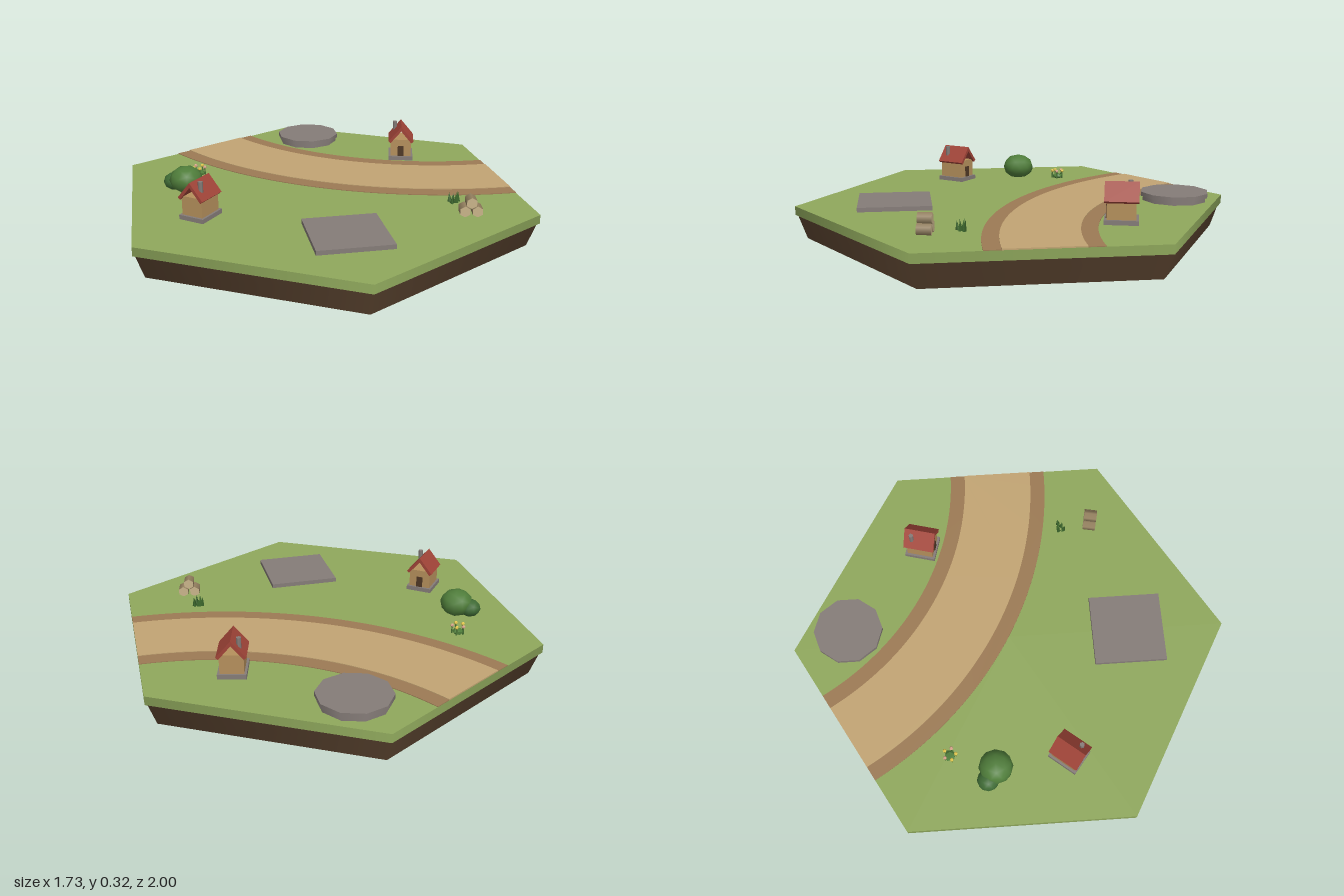
import * as THREE from 'three';

const TOP = 0.15; // grass level

const mat = (color, extra = {}) => new THREE.MeshStandardMaterial({ color, ...extra });
const MATS = {
  grass: mat(0x8fa85c), dirt: mat(0x5a432f), road: mat(0xc2a473), verge: mat(0x9c7a54),
  stone: mat(0x857c78), wall: mat(0xb5905c), door: mat(0x4f3825), roof: mat(0xa04438),
  leaf: mat(0x4f7d3a), leafDark: mat(0x3f6b35), blade: mat(0x3f6b2f), bark: mat(0x94805f),
  cut: mat(0xc9b48a), yellow: mat(0xe3c84f), pink: mat(0xd9a58c),
};

function add(parent, name, geometry, material, x = 0, y = 0, z = 0) {
  const mesh = new THREE.Mesh(geometry, material);
  mesh.name = name;
  mesh.position.set(x, y, z);
  parent.add(mesh);
  return mesh;
}

function group(parent, name, x = 0, y = 0, z = 0, turn = 0) {
  const g = new THREE.Group();
  g.name = name;
  g.position.set(x, y, z);
  g.rotation.y = turn;
  parent.add(g);
  return g;
}

// Flat 60 degree band around the point where the two crossed tile edges would meet
function arcBand(inner, outer, height) {
  const shape = new THREE.Shape();
  shape.absarc(0, 0, outer, -Math.PI / 2, -Math.PI * 5 / 6, true);
  shape.absarc(0, 0, inner, -Math.PI * 5 / 6, -Math.PI / 2, false);
  const geo = new THREE.ExtrudeGeometry(shape, { depth: height, bevelEnabled: false, curveSegments: 24 });
  geo.rotateX(-Math.PI / 2);
  return geo;
}

// Cottage with its ridge along z and its door at -z
function addHouse(parent, x, z, turn) {
  const house = group(parent, 'house', x, TOP, z, turn);
  add(house, 'foundation', new THREE.BoxGeometry(0.122, 0.02, 0.144), MATS.stone, 0, 0.01, 0);
  add(house, 'walls', new THREE.BoxGeometry(0.102, 0.085, 0.122), MATS.wall, 0, 0.0625, 0);
  add(house, 'door', new THREE.BoxGeometry(0.03, 0.052, 0.006), MATS.door, 0, 0.046, -0.062);

  // Two sloping roof slabs as one chevron, open at the gables
  const roof = new THREE.Shape();
  roof.moveTo(-0.063, 0.099);
  roof.lineTo(-0.052, 0.09);
  roof.lineTo(0, 0.152);
  roof.lineTo(0.052, 0.09);
  roof.lineTo(0.063, 0.099);
  roof.lineTo(0, 0.174);
  roof.closePath();
  const geo = new THREE.ExtrudeGeometry(roof, { depth: 0.144, bevelEnabled: false });
  add(house, 'roof', geo, MATS.roof, 0, 0, -0.072);
  add(house, 'chimney', new THREE.CylinderGeometry(0.011, 0.011, 0.055, 6), MATS.stone, 0.031, 0.147, 0.035);
}

export function createModel() {
  const model = new THREE.Group();
  model.name = 'hexTile';

  // Ground
  add(model, 'earth', new THREE.CylinderGeometry(0.99, 0.95, 0.112, 6), MATS.dirt, 0, 0.056, 0);
  add(model, 'grass', new THREE.CylinderGeometry(1, 1, 0.04, 6), MATS.grass, 0, 0.13, 0);

  // Curved road between two tile edges, with a verge on both sides
  const road = group(model, 'road', Math.sqrt(0.75), TOP, -1.5);
  add(road, 'innerVerge', arcBand(1.265, 1.335, 0.003), MATS.verge);
  add(road, 'outerVerge', arcBand(1.66, 1.73, 0.003), MATS.verge);
  add(road, 'roadSurface', arcBand(1.335, 1.66, 0.006), MATS.road);

  // Stone building plots
  add(model, 'squarePlot', new THREE.BoxGeometry(0.326, 0.02, 0.33), MATS.stone, 0, 0.16, 0.553);
  const plaza = group(model, 'roundPlot', 0.07, TOP, -0.744);
  add(plaza, 'plotFooting', new THREE.CylinderGeometry(0.15, 0.15, 0.02, 10), MATS.stone, 0, 0.01, 0);
  add(plaza, 'plotSlab', new THREE.CylinderGeometry(0.159, 0.159, 0.02, 10), MATS.stone, 0, 0.03, 0);

  addHouse(model, -0.574, 0.228, -0.68);
  addHouse(model, 0.489, -0.386, 2.88);

  // Bush
  const bush = group(model, 'bush', -0.617, TOP, -0.1);
  add(bush, 'largeBush', new THREE.IcosahedronGeometry(0.077, 1), MATS.leaf, 0, 0.053, 0).scale.y = 0.82;
  add(bush, 'smallBush', new THREE.IcosahedronGeometry(0.05, 1), MATS.leafDark, -0.053, 0.035, -0.037).scale.y = 0.82;

  // Flower patch
  const flowers = group(model, 'flowers', -0.545, TOP, -0.3);
  add(flowers, 'flowerLeaves', new THREE.IcosahedronGeometry(0.027, 0), MATS.leaf, 0, 0.008, 0).scale.y = 0.6;
  for (let i = 0; i < 5; i++) {
    const a = (i / 5) * Math.PI * 2;
    const x = Math.sin(a) * 0.027, z = Math.cos(a) * 0.027;
    add(flowers, 'stem', new THREE.CylinderGeometry(0.003, 0.004, 0.034, 4), MATS.leaf, x, 0.017, z);
    add(flowers, 'blossom', new THREE.IcosahedronGeometry(0.009, 0), i % 2 ? MATS.pink : MATS.yellow, x, 0.038, z);
  }

  // Grass tuft
  const tuft = group(model, 'grassTuft', 0.55, TOP, 0.287);
  const blades = [[-0.02, -0.012, 0.045], [0.018, -0.012, 0.05], [-0.014, 0.015, 0.042], [0.004, 0.006, 0.05], [-0.002, -0.014, 0.038]];
  blades.forEach(([x, z, h], i) => {
    const blade = add(tuft, 'blade', new THREE.ConeGeometry(0.012, h, 3), MATS.blade, x, h / 2, z);
    blade.rotation.set(z * 6, i, -x * 6);
  });

  // Stack of three logs
  const logs = group(model, 'logStack', 0.572, TOP, 0.432, -0.2);
  const logGeo = new THREE.CylinderGeometry(0.025, 0.025, 0.06, 6);
  logGeo.rotateX(Math.PI / 2);
  for (const [x, y] of [[-0.027, 0.022], [0.027, 0.022], [0, 0.061]])
    add(logs, 'log', logGeo, [MATS.bark, MATS.cut, MATS.cut], x, y, 0);

  return model;
}
